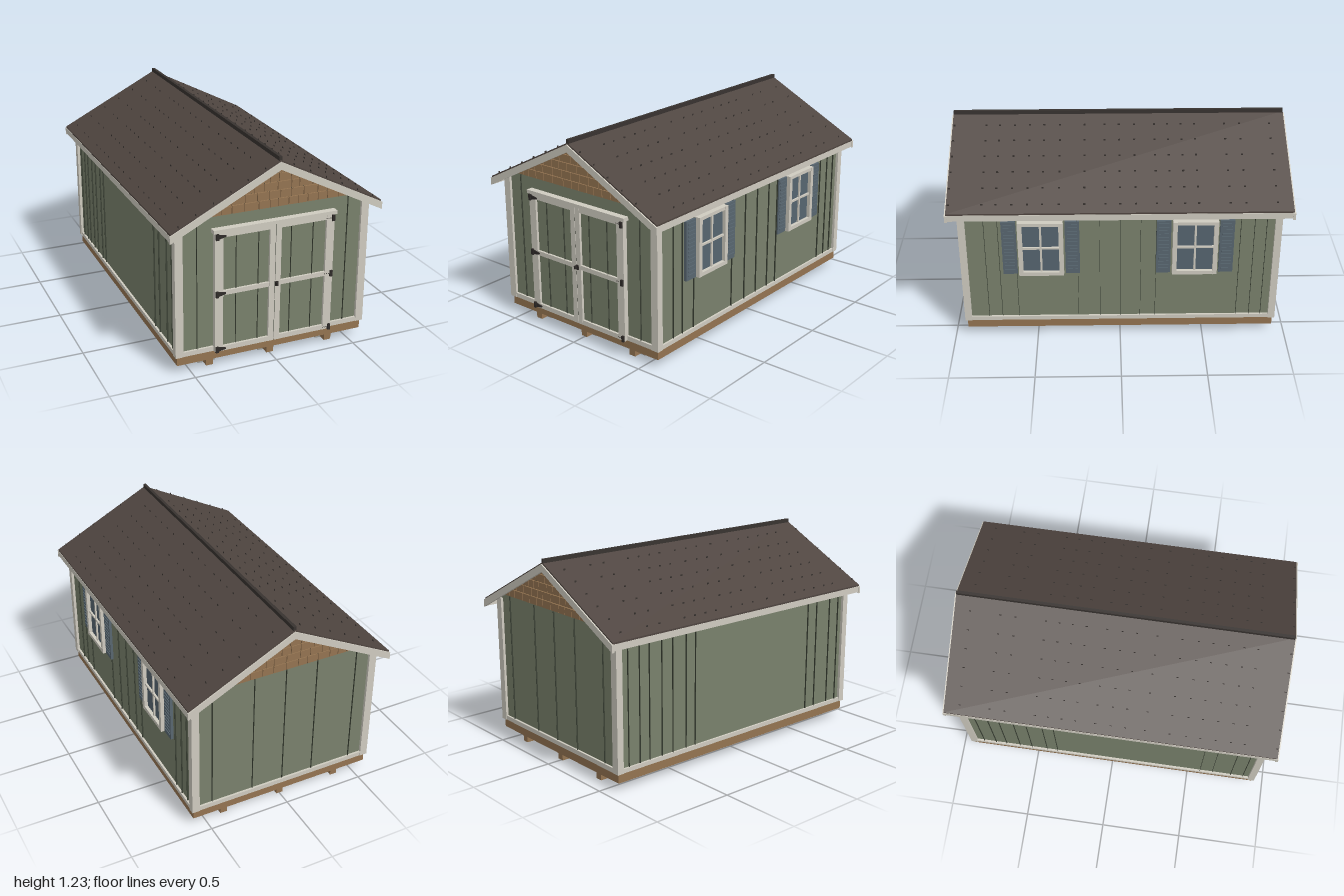
import * as THREE from 'three';

const paint = (name, color, side = THREE.FrontSide) =>
  Object.assign(new THREE.MeshStandardMaterial({ color, side }), { name });
const M = {
  siding: paint('siding green', 0x79816c),
  seam: paint('seam dark green', 0x3b4135),
  trim: paint('trim cream', 0xcfcbc0),
  wood: paint('wood brown', 0x947451),
  roof: paint('roof brown', 0x4f4540),
  ridge: paint('ridge dark', 0x383330),
  shutter: paint('shutter blue', 0x586670),
  glass: paint('glass slate', 0x566570),
  block: paint('block grey', 0x9a9b98),
  iron: paint('iron black', 0x2e2a28),
};

// Roof line height at x
const SLOPE = 0.51;
const L = (x) => 1.2 - SLOPE * Math.abs(x);

export function createModel() {
  const root = new THREE.Group();
  root.name = 'gardenShed';

  const group = (name, parent = root) => {
    const g = new THREE.Group();
    g.name = name;
    parent.add(g);
    return g;
  };
  // Box from its min and max on each axis
  const box = (parent, name, mat, x0, x1, y0, y1, z0, z1) => {
    const m = new THREE.Mesh(new THREE.BoxGeometry(x1 - x0, y1 - y0, z1 - z0), mat);
    m.position.set((x0 + x1) / 2, (y0 + y1) / 2, (z0 + z1) / 2);
    m.name = name;
    parent.add(m);
    return m;
  };
  // Outline in x, y drawn out from z0 to z1
  const prism = (parent, name, mat, pts, z0, z1) => {
    const shape = new THREE.Shape(pts.map(([x, y]) => new THREE.Vector2(x, y)));
    const geo = new THREE.ExtrudeGeometry(shape, { depth: z1 - z0, bevelEnabled: false });
    const m = new THREE.Mesh(geo.translate(0, 0, z0), mat);
    m.name = name;
    parent.add(m);
    return m;
  };

  // Skids, blocks and floor
  const base = group('base');
  for (const x of [-0.377, 0, 0.377]) {
    box(base, 'skid', M.wood, x - 0.021, x + 0.021, 0.004, 0.05, -0.91, 0.91);
    for (const z of [-0.795, 0, 0.8]) box(base, 'block', M.block, x - 0.053, x + 0.053, 0, 0.031, z - 0.061, z + 0.061);
  }
  box(base, 'floor', M.wood, -0.58, 0.58, 0.05, 0.105, -0.925, 0.925);

  // Walls
  const walls = group('walls');
  prism(walls, 'wallBody', M.siding,
    [[-0.575, 0.105], [0.575, 0.105], [0.575, L(0.575) - 0.01], [0, L(0) - 0.01], [-0.575, L(0.575) - 0.01]], -0.922, 0.922);
  // Thin upright seams between the boards
  const rightSeams = [0.79, 0.71, 0.61, 0.25, 0.12, 0, -0.12, -0.21, -0.7, -0.78, -0.85];
  const leftSeams = [-0.85, -0.77, -0.7, -0.61, -0.53, -0.43, -0.36, 0.58, 0.66, 0.78, 0.86];
  for (const z of rightSeams) box(walls, 'seam', M.seam, 0.575, 0.584, 0.13, 0.85, z - 0.001, z + 0.001);
  for (const z of leftSeams) box(walls, 'seam', M.seam, -0.584, -0.575, 0.13, 0.85, z - 0.001, z + 0.001);
  for (const x of [-0.46, -0.2, 0, 0.2, 0.46]) {
    box(walls, 'seam', M.seam, x - 0.001, x + 0.001, 0.13, 0.915, -0.931, -0.922);
    if (Math.abs(x) > 0.4) box(walls, 'seam', M.seam, x - 0.001, x + 0.001, 0.13, 0.915, 0.922, 0.931);
  }

  // Corner boards and base trim
  const trim = group('wallTrim');
  for (const s of [-1, 1]) {
    for (const e of [-1, 1]) {
      const span = (a, b, k) => (k > 0 ? [a, b] : [-b, -a]);
      box(trim, 'cornerFrontBoard', M.trim, ...span(0.545, 0.592, s), 0.105, 0.89, ...span(0.922, 0.938, e));
      box(trim, 'cornerSideBoard', M.trim, ...span(0.575, 0.592, s), 0.105, 0.88, ...span(0.897, 0.93, e));
    }
    box(trim, 'sideBaseTrim', M.trim, Math.min(s * 0.57, s * 0.588), Math.max(s * 0.57, s * 0.588), 0.105, 0.13, -0.92, 0.92);
    box(trim, 'endBaseTrim', M.trim, -0.57, 0.57, 0.105, 0.133, Math.min(s * 0.92, s * 0.935), Math.max(s * 0.92, s * 0.935));
  }

  // Wooden shingles in both gables
  let seed = 7;
  const rand = () => (seed = (seed * 16807) % 2147483647) / 2147483647;
  const gableTop = (x) => L(x) - 0.018;
  const reach = (y) => Math.max(0, (1.182 - y) / SLOPE);
  for (const e of [-1, 1]) {
    const gable = group(e > 0 ? 'frontGable' : 'backGable');
    const zs = (a, b) => (e > 0 ? [a, b] : [-b, -a]);
    const w = reach(0.92);
    prism(gable, 'gableBacking', M.seam, [[-w, 0.92], [w, 0.92], [0, 1.182]], ...zs(0.922, 0.928));
    for (let row = 0; row < 5; row++) {
      const y0 = 0.922 + row * 0.049, y1 = y0 + 0.045, edge = reach(y0) - 0.002;
      let x = -edge;
      while (x < edge - 0.01) {
        const x1 = Math.min(edge, x + 0.04 + rand() * 0.045);
        const pts = [[x, y0], [x1, y0], [x1, Math.min(y1, gableTop(x1))]];
        // Keep the peak when a shingle spans it
        for (const k of [reach(y1), -reach(y1)]) if (k > x && k < x1) pts.push([k, y1]);
        pts.push([x, Math.min(y1, gableTop(x))]);
        prism(gable, 'gableShingle', M.wood, pts, ...zs(0.926, 0.937));
        x = x1 + 0.004;
      }
    }
  }

  // Roof slopes, soffits, rake boards and eave boards
  const roof = group('roof');
  const slab = (name, mat, s, x1, lo, hi, z0, z1) => {
    const pts = [[0, L(0) + lo], [s * x1, L(x1) + lo], [s * x1, L(x1) + hi], [0, L(0) + hi]];
    prism(roof, name, mat, pts, z0, z1);
  };
  const tabs = [0.98, 0.79, 0.71, 0.62, 0.53, 0.445, 0.35, 0.205, 0.085, 0, -0.09, -0.21, -0.29, -0.37, -0.45, -0.63, -0.72, -0.9];
  for (const s of [-1, 1]) {
    slab('roofSlope', M.roof, s, 0.636, 0, 0.01, -0.992, 0.992);
    slab('soffit', M.trim, s, 0.63, -0.016, 0, -0.985, 0.985);
    for (const [z0, z1] of [[0.984, 1], [-1, -0.984]]) slab('rakeBoard', M.trim, s, 0.64, -0.043, 0.001, z0, z1);
    box(roof, 'eaveBoard', M.trim, Math.min(s * 0.622, s * 0.638), Math.max(s * 0.622, s * 0.638), 0.838, 0.876, -0.985, 0.985);
    // Small upright shingle tabs in courses
    for (let i = 0; i < 6; i++) {
      const x = s * (0.585 - i * 0.1), y = L(x) + 0.008;
      for (const z of tabs) box(roof, 'shingleTab', M.ridge, x - 0.001, x + 0.001, y, y + 0.011, z - 0.006, z + 0.006);
    }
  }
  box(roof, 'ridgeCap', M.ridge, -0.009, 0.009, 1.19, 1.229, -0.99, 0.99);

  // Double door
  const door = group('door');
  box(door, 'doorPanels', M.siding, -0.36, 0.36, 0.108, 0.828, 0.92, 0.94);
  box(door, 'header', M.trim, -0.375, 0.375, 0.829, 0.85, 0.92, 0.962);
  for (const s of [-1, 1]) {
    const leaf = group(s > 0 ? 'leftLeaf' : 'rightLeaf', door);
    const bar = (name, a, b, y0, y1, z) => box(leaf, name, M.trim, Math.min(s * a, s * b), Math.max(s * a, s * b), y0, y1, 0.925, z);
    bar('outerStile', 0.315, 0.364, 0.106, 0.827, 0.955);
    bar('innerStile', 0.0015, 0.035, 0.106, 0.827, 0.955);
    for (const [y0, y1] of [[0.106, 0.135], [0.452, 0.479], [0.8, 0.827]]) bar('rail', 0.03, 0.32, y0, y1, 0.954);
    for (const x of [0.1, 0.235]) box(leaf, 'seam', M.seam, s * x - 0.001, s * x + 0.001, 0.135, 0.8, 0.94, 0.948);
    // Hinges
    for (const y of [0.121, 0.465, 0.808]) {
      box(leaf, 'hingePlate', M.iron, s * 0.353 - 0.008, s * 0.353 + 0.008, y - 0.018, y + 0.018, 0.95, 0.966);
      if (s < 0) prism(leaf, 'hingeStrap', M.iron, [[-0.347, y - 0.014], [-0.3, y - 0.004], [-0.3, y + 0.004], [-0.347, y + 0.014]], 0.953, 0.961);
      else for (const x of [0.315, 0.327, 0.338]) box(leaf, 'hingeBolt', M.iron, x - 0.002, x + 0.002, y - 0.002, y + 0.002, 0.954, 0.958);
    }
  }
  box(door, 'doorSeam', M.seam, -0.0015, 0.0015, 0.108, 0.828, 0.94, 0.953);
  box(door, 'handlePlate', M.iron, 0.001, 0.019, 0.45, 0.478, 0.953, 0.961);
  box(door, 'handle', M.iron, 0.002, 0.012, 0.458, 0.476, 0.961, 0.978);

  // Windows with shutters on the +x wall
  for (const zc of [0.463, -0.437]) {
    const win = group('window');
    const bar = (name, mat, z0, z1, y0, y1, x) => box(win, name, mat, 0.57, x, y0, y1, zc + z0, zc + z1);
    bar('glass', M.glass, -0.12, 0.12, 0.45, 0.79, 0.588);
    for (const [z0, z1] of [[-0.132, -0.106], [0.106, 0.132]]) bar('frameSide', M.trim, z0, z1, 0.44, 0.8, 0.61);
    for (const [y0, y1] of [[0.44, 0.464], [0.78, 0.8]]) bar('frameRail', M.trim, -0.108, 0.108, y0, y1, 0.609);
    bar('muntinUpright', M.trim, -0.006, 0.006, 0.46, 0.785, 0.598);
    bar('muntinCross', M.trim, -0.108, 0.108, 0.618, 0.63, 0.6);
    for (const s of [-1, 1]) {
      const a = s * 0.184;
      bar('shutter', M.shutter, a - 0.042, a + 0.042, 0.445, 0.8, 0.592);
      for (let i = 0; i < 14; i++) {
        const y = 0.47 + i * 0.0235;
        bar('louvre', M.shutter, a - 0.03, a + 0.03, y, y + 0.01, 0.597);
      }
    }
  }
  return root;
}
